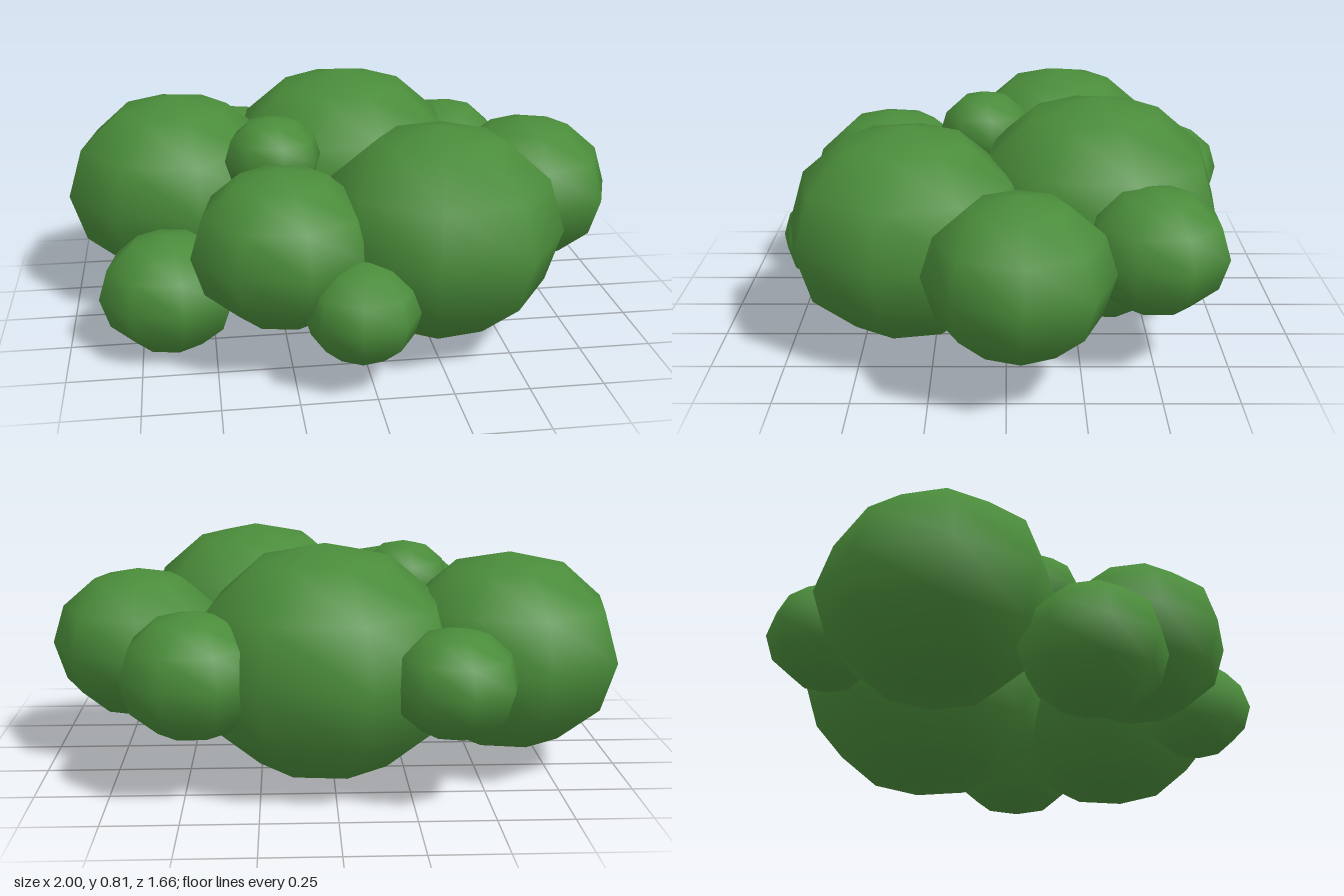
import * as THREE from 'three';

// Leafy clumps: name, centre x, y, z, horizontal radius, turn in degrees
const CLUMPS = [
  ['backClump', 0.03, 0.415, -0.32, 0.466, 16.5],
  ['frontClump', 0.275, 0.415, 0.34, 0.425, -11],
  ['rightClump', -0.61, 0.42, -0.215, 0.4, 12],
  ['leftClump', 0.685, 0.415, -0.04, 0.31, 2],
  ['frontRightClump', -0.27, 0.415, 0.43, 0.312, 12],
  ['backLeftClump', 0.465, 0.415, -0.495, 0.247, 22.5],
  ['lowRightClump', -0.65, 0.209, 0.275, 0.242, 11.5],
  ['backRightClump', -0.375, 0.415, -0.62, 0.21, 8.5],
  ['lowFrontClump', -0.035, 0.263, 0.64, 0.193, -7.5],
  ['topClump', -0.27, 0.608, 0.08, 0.172, 8.5],
];
const FLATTEN = 0.86; // height of a clump relative to its width

export function createModel() {
  const bush = new THREE.Group();
  bush.name = 'bush';
  const leaves = new THREE.MeshStandardMaterial({ color: 0x4a8c3a });
  const ball = new THREE.SphereGeometry(1, 8, 6);

  for (const [name, x, y, z, r, turn] of CLUMPS) {
    const clump = new THREE.Mesh(ball, leaves);
    clump.name = name;
    clump.position.set(x, y, z);
    clump.scale.set(r, r * FLATTEN, r);
    clump.rotation.y = THREE.MathUtils.degToRad(turn);
    bush.add(clump);
  }
  return bush;
}
